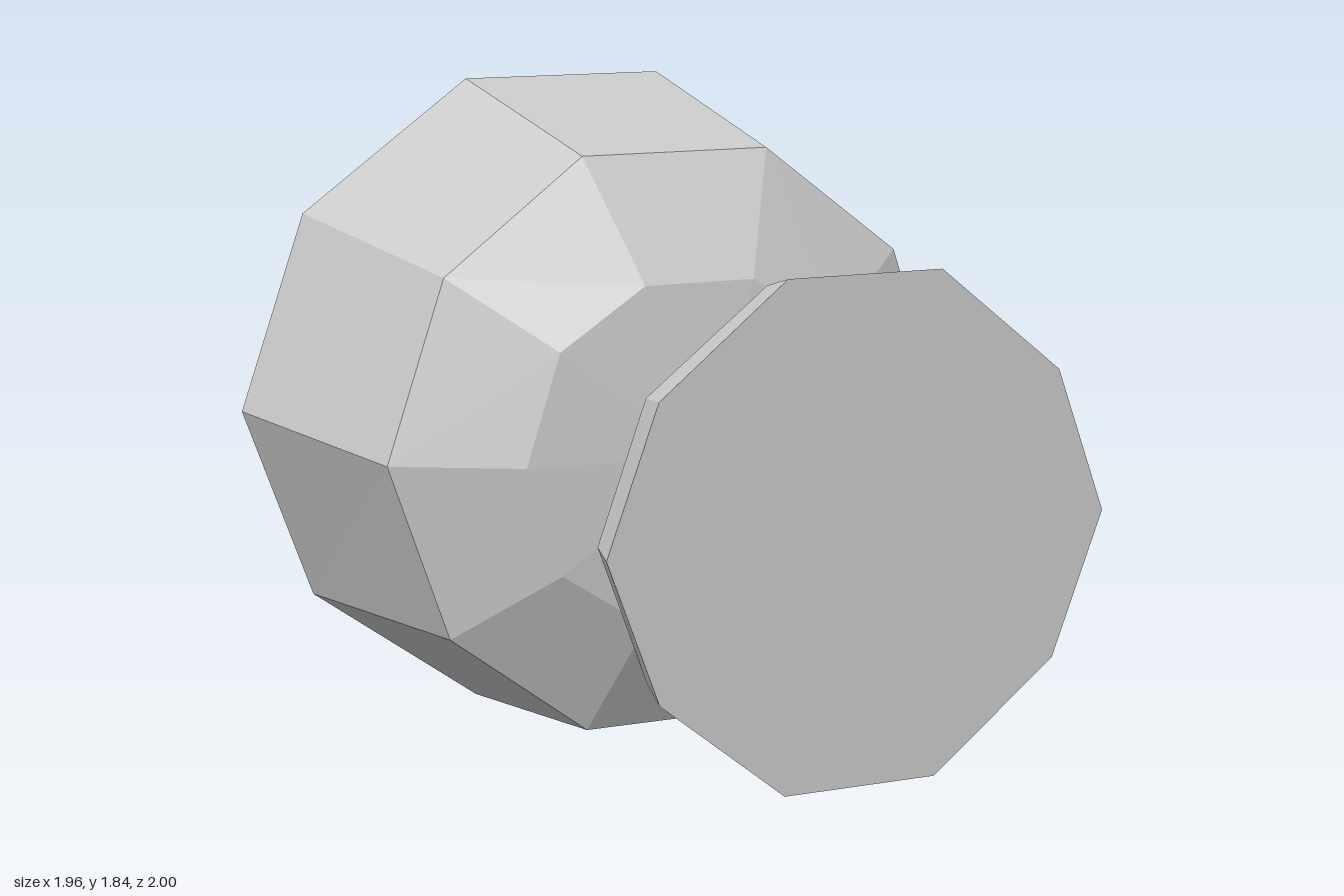
import * as THREE from 'three';

const CENTER_Y = 0.92;

// Ten-sided ring at depth z: a side corner on x, then two corners per quadrant, mirrored
function ring(z, r, x1 = r * 0.809, y1 = r * 0.588, x2 = r * 0.309, y2 = r * 0.951) {
  return [
    [r, 0], [x1, y1], [x2, y2], [-x2, y2], [-x1, y1],
    [-r, 0], [-x1, -y1], [-x2, -y2], [x2, -y2], [x1, -y1],
  ].map(([x, y]) => [x, y, z]);
}

// Skin rings ordered from front (+z) to back, with optional flat end caps
function loft(name, rings, capFront, capBack) {
  const pos = [];
  const tri = (...corners) => corners.forEach((c) => pos.push(...c));
  const n = rings[0].length;
  const first = rings[0], last = rings[rings.length - 1];
  for (let i = 0; i < n; i++) {
    const j = (i + 1) % n;
    for (let k = 0; k < rings.length - 1; k++) {
      const a = rings[k], b = rings[k + 1];
      tri(a[i], b[i], b[j]);
      tri(a[i], b[j], a[j]);
    }
    if (capFront) tri([0, 0, first[0][2]], first[i], first[j]);
    if (capBack) tri([0, 0, last[0][2]], last[j], last[i]);
  }
  const geometry = new THREE.BufferGeometry();
  geometry.setAttribute('position', new THREE.Float32BufferAttribute(pos, 3));
  geometry.computeVertexNormals();
  const material = new THREE.MeshStandardMaterial({ color: 0xcccccc, flatShading: true });
  const mesh = new THREE.Mesh(geometry, material);
  mesh.name = name;
  mesh.position.y = CENTER_Y;
  return mesh;
}

export function createModel() {
  const group = new THREE.Group();
  group.name = 'goblet';

  // Rings where the stem meets the foot and the bowl
  const stemFront = ring(0.735, 0.1);
  const stemBack = ring(0.05, 0.13);

  // Foot: flat front disc, short rim and a cone down to the stem
  group.add(loft('foot', [
    ring(1, 0.653, 0.522, 0.361, 0.2, 0.625),
    ring(0.867, 0.623, 0.5, 0.345, 0.192, 0.59),
    stemFront,
  ], true, false));

  // Stem: slim taper
  group.add(loft('stem', [stemFront, stemBack], false, false));

  // Bowl: shallow bottom, shoulder and flared wall closed at the rim
  group.add(loft('bowl', [
    stemBack,
    ring(0.018, 0.49, 0.394, 0.3, 0.155, 0.46),
    ring(-0.148, 0.817, 0.653, 0.488, 0.265, 0.787),
    ring(-1, 0.982, 0.788, 0.557, 0.295, 0.92),
  ], false, true));

  return group;
}
